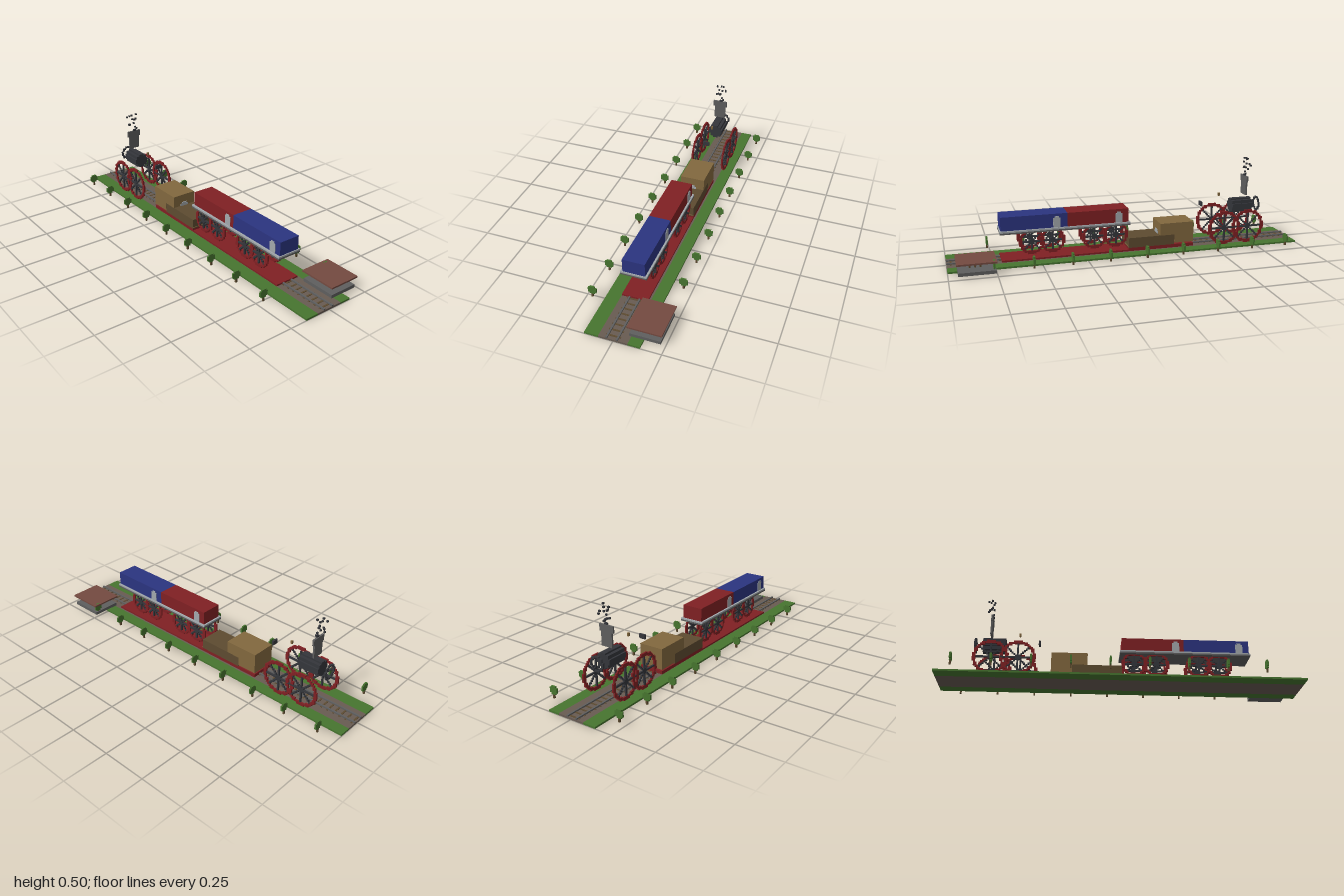
import * as THREE from 'three';
import { mergeGeometries } from 'three/addons/utils/BufferGeometryUtils.js';

const V = 0.0093; // edge of one small block

function material(name, color) {
  const m = new THREE.MeshStandardMaterial({ color });
  m.name = name;
  return m;
}

const M = {
  grass: material('grass green', 0x47752f),
  gravel: material('gravel brown', 0x685b52),
  grey: material('stone grey', 0x5e5e5e),
  light: material('light grey', 0xa2a8ac),
  red: material('deep red', 0x802023),
  blue: material('navy blue', 0x2b3480),
  black: material('iron black', 0x34363b),
  tan: material('tan wood', 0x82683e),
  brown: material('dark wood', 0x5d4b30),
  roof: material('roof brown', 0x744a40),
};

// Box geometry from its lower and upper corner
function boxGeo(x0, x1, y0, y1, z0, z1) {
  return new THREE.BoxGeometry(x1 - x0, y1 - y0, z1 - z0)
    .translate((x0 + x1) / 2, (y0 + y1) / 2, (z0 + z1) / 2);
}

function add(group, name, mat, geos) {
  const mesh = new THREE.Mesh(Array.isArray(geos) ? mergeGeometries(geos) : geos, mat);
  mesh.name = name;
  group.add(mesh);
  return mesh;
}

function box(group, name, mat, ...size) {
  return add(group, name, mat, boxGeo(...size));
}

// Small block centred on a point
const cube = (x, y, z) => new THREE.BoxGeometry(V, V, V).translate(x, y, z);

// Stepped spoked wheel in the YZ plane, n blocks in radius
function wheel(name, n, x, y, z) {
  const g = new THREE.Group();
  g.name = name;
  const rim = [], spokes = [];
  for (let i = -n; i <= n; i++) {
    for (let j = -n; j <= n; j++) {
      const d = Math.hypot(i, j);
      if (d > n + 0.4) continue;
      if (d > n - 1.1) rim.push(cube(0, i * V, j * V));
      else if (i === 0 || j === 0 || Math.abs(i) === Math.abs(j) || d < 2) spokes.push(cube(0, i * V, j * V));
    }
  }
  add(g, 'rim', M.red, rim);
  add(g, 'spokes', M.black, spokes);
  g.position.set(x, y, z);
  return g;
}

// Flat stepped tree
function tree(x, z) {
  const g = new THREE.Group();
  g.name = 'tree';
  box(g, 'trunk', M.brown, -V / 2, V / 2, 0.01, 0.031, -V / 2, V / 2);
  const h = V / 2;
  add(g, 'crown', M.grass, [
    boxGeo(-1.5 * V, 1.5 * V, 0.031, 0.04, -h, h),
    boxGeo(-2.5 * V, 2.5 * V, 0.04, 0.068, -h, h),
    boxGeo(-1.5 * V, 1.5 * V, 0.068, 0.077, -h, h),
  ]);
  g.position.set(x, 0, z);
  return g;
}

function ground() {
  const g = new THREE.Group();
  g.name = 'ground';
  box(g, 'leftGrass', M.grass, 0.076, 0.14, 0, 0.01, -1, 1);
  box(g, 'rightGrass', M.grass, -0.152, -0.078, 0, 0.01, -1, 1);
  box(g, 'trackBed', M.gravel, -0.078, 0.076, 0, 0.01, -1, 1);
  const sleepers = [];
  for (let z = -0.985; z < 1; z += 0.037) sleepers.push(boxGeo(-0.045, 0.033, 0.01, 0.012, z - V / 2, z + V / 2));
  add(g, 'sleepers', M.brown, sleepers);
  for (const x of [-0.034, 0.021]) box(g, 'rail', M.grey, x - V / 2, x + V / 2, 0.01, 0.018, -1, 1);
  for (let k = 0; k < 9; k++) {
    const z = -0.9 + k * 0.208;
    g.add(tree(-0.215, z), tree(0.203, z));
  }
  return g;
}

function station() {
  const g = new THREE.Group();
  g.name = 'station';
  box(g, 'platform', M.grey, 0.065, 0.227, 0.01, 0.028, 0.755, 0.95);
  box(g, 'roof', M.roof, 0.056, 0.236, 0.068, 0.077, 0.75, 0.957);
  // Waiting figures
  [M.red, M.grass, M.blue].forEach((mat, i) => {
    const z = 0.83 + i * 0.028, x = 0.147, h = V / 2;
    box(g, 'legs', M.brown, x - h, x + h, 0.028, 0.0375, z - h, z + h);
    box(g, 'body', mat, x - h, x + h, 0.0375, 0.047, z - h, z + h);
    box(g, 'head', M.tan, x - h, x + h, 0.047, 0.057, z - h, z + h);
  });
  return g;
}

function wagon() {
  const g = new THREE.Group();
  g.name = 'wagon';
  box(g, 'basePlate', M.red, -0.077, 0.066, 0.01, 0.0195, -0.385, 0.71);
  box(g, 'chassis', M.grey, -0.077, 0.066, 0.163, 0.172, -0.01, 0.715);
  box(g, 'deck', M.light, -0.077, 0.066, 0.172, 0.181, -0.01, 0.715);
  box(g, 'rearCabin', M.red, -0.066, 0.056, 0.181, 0.258, 0, 0.345);
  box(g, 'frontCabin', M.blue, -0.066, 0.056, 0.181, 0.258, 0.345, 0.71);
  // Arched doors on both sides
  for (const [x, z] of [[0.057, 0.055], [0.057, 0.405], [-0.067, 0.3], [-0.067, 0.655]]) {
    add(g, 'door', M.light, [
      boxGeo(x - 0.002, x + 0.002, 0.181, 0.235, z - 0.02, z + 0.02),
      boxGeo(x - 0.002, x + 0.002, 0.235, 0.244, z - 0.012, z + 0.012),
    ]);
  }
  for (const z of [0.07, 0.193, 0.428, 0.542]) {
    for (const x of [-0.0525, 0.0425]) g.add(wheel('wagonWheel', 7, x, 0.108, z));
  }
  return g;
}

function tender() {
  const g = new THREE.Group();
  g.name = 'tender';
  box(g, 'underframe', M.red, -0.077, 0.066, 0.0195, 0.029, -0.385, 0);
  box(g, 'lowBody', M.brown, -0.077, 0.066, 0.029, 0.086, -0.27, 0);
  box(g, 'tallBody', M.tan, -0.0775, 0.0665, 0.086, 0.155, -0.385, -0.187);
  box(g, 'rearBody', M.tan, -0.0775, 0.0665, 0.037, 0.086, -0.385, -0.27);
  box(g, 'trim', M.tan, -0.077, 0.066, 0.035, 0.038, 0, 0.002);
  // Stepped hatch
  add(g, 'hatch', M.light, [
    boxGeo(-0.03, 0.019, 0.086, 0.099, -0.187, -0.183),
    boxGeo(-0.022, 0.011, 0.099, 0.108, -0.187, -0.183),
  ]);
  return g;
}

function engine() {
  const g = new THREE.Group();
  g.name = 'engine';
  for (const z of [-0.565, -0.711]) {
    for (const x of [-0.1005, 0.0905]) g.add(wheel('drivingWheel', 10, x, 0.11, z));
  }
  // Stepped boiler built of long staves, and the ring at its far end
  const cx = -0.007, cy = 0.215, staves = [], ring = [];
  for (let i = -4; i <= 4; i++) {
    for (let j = -4; j <= 4; j++) {
      const d = Math.hypot(i, j), x = cx + i * V, y = cy + j * V;
      if (d > 4.4) continue;
      staves.push(boxGeo(x - V / 2, x + V / 2, y - V / 2, y + V / 2, -0.765, -0.64));
      if (d > 3.5) ring.push(cube(x, y, -0.807));
    }
  }
  add(g, 'boiler', M.black, staves);
  add(g, 'endRing', M.black, ring);
  box(g, 'rearPlate', M.black, -0.025, 0.011, 0.225, 0.25, -0.46, -0.45);
  box(g, 'whistle', M.tan, -0.011, -0.001, 0.277, 0.295, -0.571, -0.561);
  // Flat chimney
  add(g, 'chimney', M.grey, [
    boxGeo(-0.039, 0.028, 0.277, 0.354, -0.73, -0.72),
    boxGeo(-0.048, 0.038, 0.354, 0.39, -0.73, -0.72),
  ]);
  // Puffs of smoke: x and y in blocks above the chimney, drifting backwards
  const puffs = [[1.5, 11.6], [-3, 10.8], [-0.5, 10.6], [-3.6, 9.6], [-1.5, 8.7], [0.4, 7.8], [2.4, 7.8], [2.2, 6.7],
    [-0.4, 5.8], [-3.5, 4.8], [-2.6, 4.7], [-1.7, 3.8], [0.5, 2.9], [1.5, 1.8], [-0.5, 0.8], [0.4, 0.8]];
  add(g, 'smoke', M.black, puffs.map(([x, y], i) => cube(x * V, 0.388 + y * V, -0.722 - (i % 4) * V * (y > 3 ? 1 : 0))));
  return g;
}

export function createModel() {
  const model = new THREE.Group();
  model.name = 'railwayScene';
  model.add(ground(), station(), wagon(), tender(), engine());
  return model;
}
